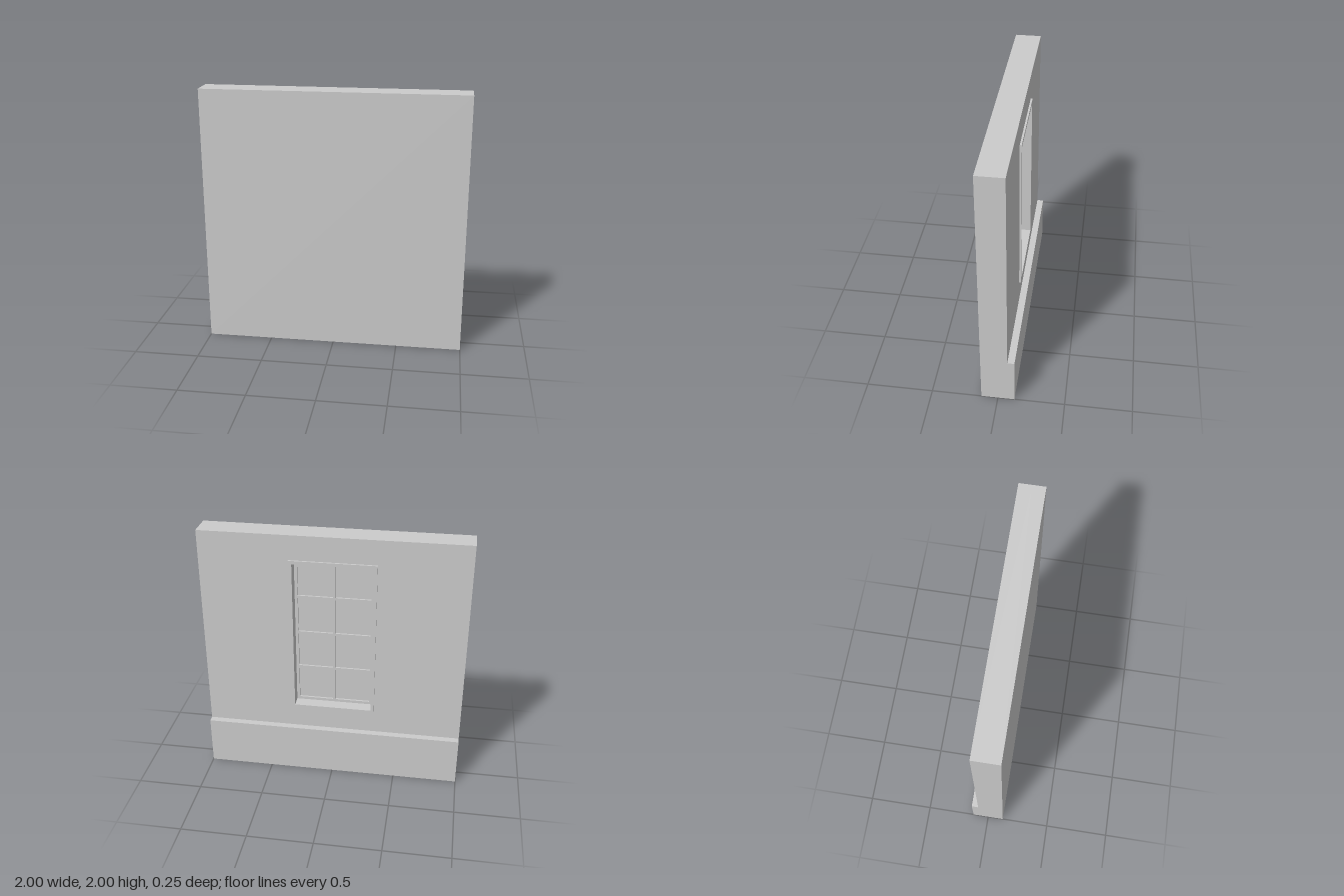
import * as THREE from 'three';

const material = new THREE.MeshStandardMaterial({ color: 0xcccccc, flatShading: true });

// Window opening
const HALF_W = 0.3, BOTTOM = 0.585, TOP = 1.785;
const MID_Y = (BOTTOM + TOP) / 2, HEIGHT = TOP - BOTTOM;

function addBox(parent, name, [x0, x1], [y0, y1], [z0, z1]) {
  const mesh = new THREE.Mesh(new THREE.BoxGeometry(x1 - x0, y1 - y0, z1 - z0), material);
  mesh.position.set((x0 + x1) / 2, (y0 + y1) / 2, (z0 + z1) / 2);
  mesh.name = name;
  parent.add(mesh);
}

function rectPoints(x0, x1, y0, y1) {
  return [[x0, y0], [x1, y0], [x1, y1], [x0, y1]].map(([x, y]) => new THREE.Vector2(x, y));
}

// Rectangular plate with a rectangular hole, extruded from z0 to z1
function addFrame(parent, name, outer, inner, z0, z1) {
  const shape = new THREE.Shape(rectPoints(...outer));
  shape.holes.push(new THREE.Path(rectPoints(...inner).reverse()));
  const geometry = new THREE.ExtrudeGeometry(shape, { depth: z1 - z0, bevelEnabled: false });
  geometry.translate(0, 0, z0);
  const mesh = new THREE.Mesh(geometry, material);
  mesh.name = name;
  parent.add(mesh);
}

export function createModel() {
  const model = new THREE.Group();
  model.name = 'wallWithWindow';
  const opening = [-HALF_W, HALF_W, BOTTOM, TOP];

  // Wall: solid front layer and rear layer with the window recess
  const wall = new THREE.Group();
  wall.name = 'wall';
  addBox(wall, 'wallFront', [-1, 1], [0, 2], [0.025, 0.125]);
  addFrame(wall, 'wallBack', [-1, 1, 0, 2], opening, -0.073, 0.025);
  addBox(wall, 'plinth', [-1, 1], [0, 0.385], [-0.125, -0.073]);
  model.add(wall);

  // Window: raised trim, recessed sash, glazing bars and pane
  const win = new THREE.Group();
  win.name = 'window';
  const t = 0.025;
  addFrame(win, 'trim', [-HALF_W - t, HALF_W + t, BOTTOM - t, TOP + t], opening, -0.087, -0.073);
  const s = 0.022;
  addFrame(win, 'sash', opening, [-HALF_W + s, HALF_W - s, BOTTOM + s, TOP - s], 0.005, 0.025);
  addBox(win, 'pane', [-HALF_W, HALF_W], [BOTTOM, TOP], [0.02, 0.026]);
  const b = 0.01;
  addBox(win, 'verticalBar', [-b, b], [BOTTOM + s, TOP - s], [0.005, 0.022]);
  for (let i = -1; i <= 1; i++) {
    const y = MID_Y + (i * HEIGHT) / 4;
    addBox(win, 'horizontalBar', [-HALF_W + s, HALF_W - s], [y - b, y + b], [0.006, 0.022]);
  }
  model.add(win);

  return model;
}
